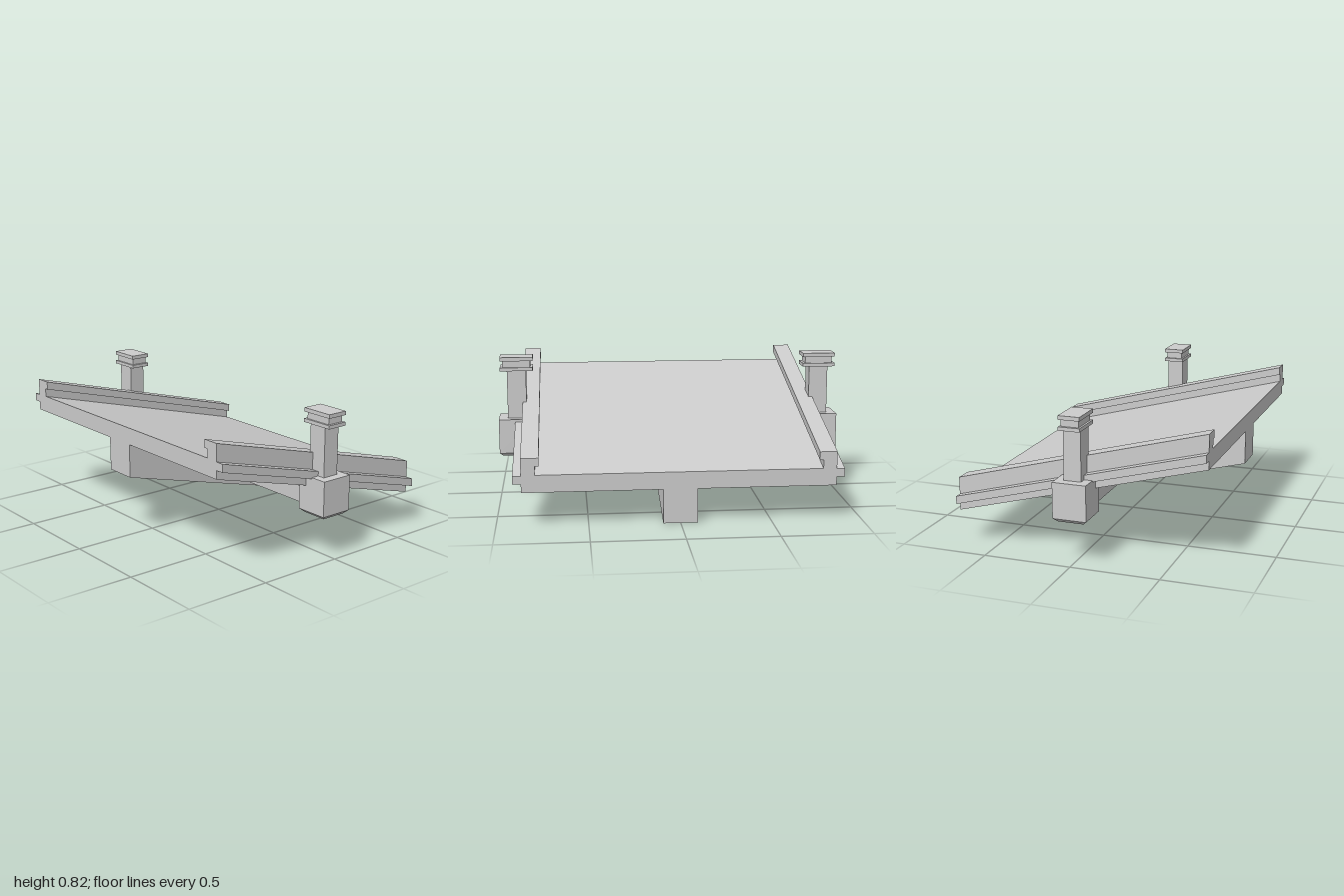
import * as THREE from 'three';

const SLOPE = 0.268; // rise of the deck per unit of z
const LENGTH = 1.424;

const material = new THREE.MeshStandardMaterial({ color: 0xcccccc, flatShading: true });

function box(name, x0, x1, y0, y1, halfDepth) {
  const geo = new THREE.BoxGeometry(x1 - x0, y1 - y0, halfDepth * 2);
  geo.translate((x0 + x1) / 2, (y0 + y1) / 2, 0);
  const mesh = new THREE.Mesh(geo, material);
  mesh.name = name;
  return mesh;
}

// Deck, keel and side rails: one cross-section, extruded and sheared to the slope
function deck() {
  const half = [
    [0.095, 0.193], [0.095, 0.384], [0.86, 0.384], [0.86, 0.432], [0.905, 0.432],
    [0.905, 0.477], [0.86, 0.477], [0.86, 0.574], [0.763, 0.574], [0.763, 0.528],
    [0.785, 0.528], [0.785, 0.48],
  ];
  const mirrored = half.map(([x, y]) => [-x, y]).reverse();
  const shape = new THREE.Shape([...half, ...mirrored].map(([x, y]) => new THREE.Vector2(x, y)));
  const geo = new THREE.ExtrudeGeometry(shape, { depth: LENGTH, bevelEnabled: false });
  geo.translate(0, 0, -LENGTH / 2);
  const pos = geo.attributes.position;
  for (let i = 0; i < pos.count; i++) pos.setY(i, pos.getY(i) + SLOPE * pos.getZ(i));
  geo.computeVertexNormals();
  const mesh = new THREE.Mesh(geo, material);
  mesh.name = 'slopedDeck';
  return mesh;
}

// Upright post on a chamfered block, with a double cap
function post(side) {
  const group = new THREE.Group();
  group.name = side > 0 ? 'leftPost' : 'rightPost';
  const c = 0.893;
  const foot = new THREE.BoxGeometry(0.19, 0.02, 0.19);
  const pos = foot.attributes.position;
  for (let i = 0; i < pos.count; i++) {
    if (pos.getY(i) < 0) pos.setXYZ(i, pos.getX(i) * 0.79, pos.getY(i), pos.getZ(i) * 0.76);
  }
  foot.computeVertexNormals();
  foot.translate(0.905, 0.255, 0);
  const footMesh = new THREE.Mesh(foot, material);
  footMesh.name = 'chamferedFoot';
  group.add(
    footMesh,
    box('block', 0.81, 1.0, 0.265, 0.465, 0.095),
    box('shaft', c - 0.055, c + 0.055, 0.465, 0.745, 0.049),
    box('collar', c - 0.095, c + 0.095, 0.745, 0.765, 0.06),
    box('neck', c - 0.08, c + 0.08, 0.765, 0.803, 0.049),
    box('cap', c - 0.095, c + 0.095, 0.803, 0.825, 0.06),
  );
  if (side < 0) group.rotation.y = Math.PI;
  return group;
}

export function createModel() {
  const model = new THREE.Group();
  model.name = 'slopedBridge';
  model.add(deck(), box('crossBeam', -0.82, 0.82, 0.28, 0.372, 0.05));
  for (const side of [-1, 1]) model.add(post(side));
  return model;
}
